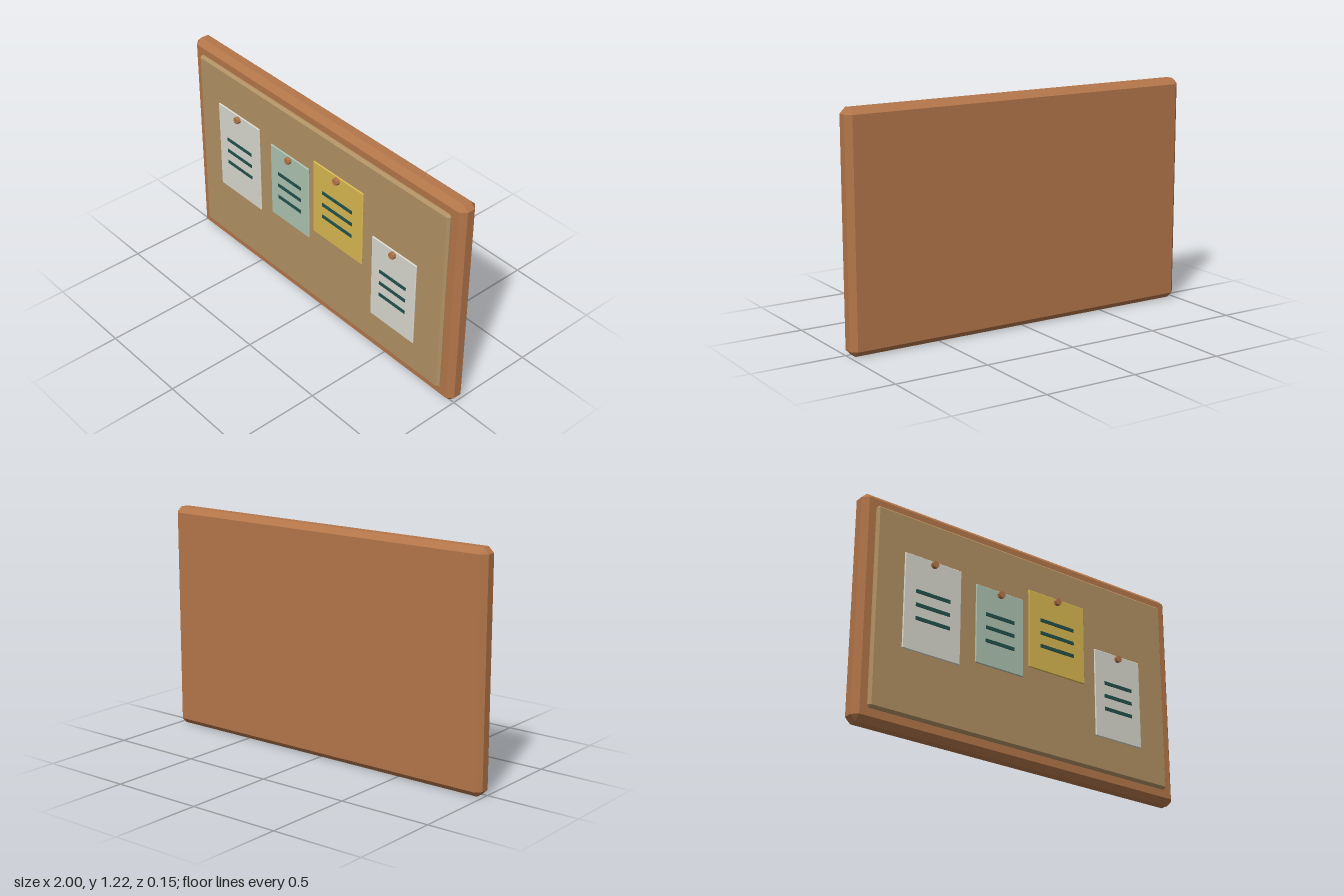
import * as THREE from 'three';
import { ConvexGeometry } from 'three/addons/geometries/ConvexGeometry.js';

const material = (name, color) => {
  const m = new THREE.MeshStandardMaterial({ color });
  m.name = name;
  return m;
};

// Box with all edges chamfered by c and small triangular corners
function chamferBox(w, h, d, c) {
  const points = [];
  for (const sx of [-1, 1]) for (const sy of [-1, 1]) for (const sz of [-1, 1]) {
    const x = w / 2, y = h / 2, z = d / 2;
    for (const [a, b, e] of [[x, y - c, z - c], [x - c, y, z - c], [x - c, y - c, z]]) {
      points.push(new THREE.Vector3(sx * a, sy * b, sz * e));
    }
  }
  return new ConvexGeometry(points);
}

export function createModel() {
  const wood = material('wood', 0xb4764a);
  const cork = material('cork', 0xb29264);
  const white = material('whitePaper', 0xd9d9cf);
  const mint = material('mintPaper', 0xadc3b0);
  const yellow = material('yellowPaper', 0xd8b850);
  const ink = material('ink', 0x22514d);

  const model = new THREE.Group();
  model.name = 'noticeBoard';
  const add = (parent, name, geometry, mat, x, y, z) => {
    const mesh = new THREE.Mesh(geometry, mat);
    mesh.name = name;
    mesh.position.set(x, y, z);
    parent.add(mesh);
    return mesh;
  };

  // Wooden backing and raised cork panel
  add(model, 'frame', chamferBox(2, 1.22, 0.105, 0.03), wood, 0, 0.61, -0.0225);
  add(model, 'corkPanel', chamferBox(1.86, 1.08, 0.05, 0.012), cork, 0, 0.612, 0.024);

  // Pinned notes: centre x, centre y, width, height, paper
  const notes = [
    [-0.598, 0.675, 0.339, 0.522, white],
    [-0.187, 0.677, 0.3, 0.439, mint],
    [0.182, 0.748, 0.369, 0.443, yellow],
    [0.593, 0.506, 0.313, 0.497, white],
  ];
  const pinGeometry = new THREE.CylinderGeometry(0.019, 0.019, 0.022, 8).toNonIndexed();
  pinGeometry.rotateX(Math.PI / 2);
  pinGeometry.computeVertexNormals();

  for (const [x, y, w, h, paper] of notes) {
    const note = new THREE.Group();
    note.name = 'note';
    note.position.set(x, y, 0);
    model.add(note);
    add(note, 'paper', chamferBox(w, h, 0.0095, 0.004), paper, 0, 0, 0.0535);

    // Three written lines
    for (const i of [-1, 0, 1]) {
      add(note, 'writtenLine', new THREE.BoxGeometry(w * 0.595, 0.019, 0.005), ink,
        0, -0.009 + i * 0.0735, 0.0595);
    }
    add(note, 'pin', pinGeometry, wood, 0, h / 2 - 0.0235, 0.067);
  }
  return model;
}
